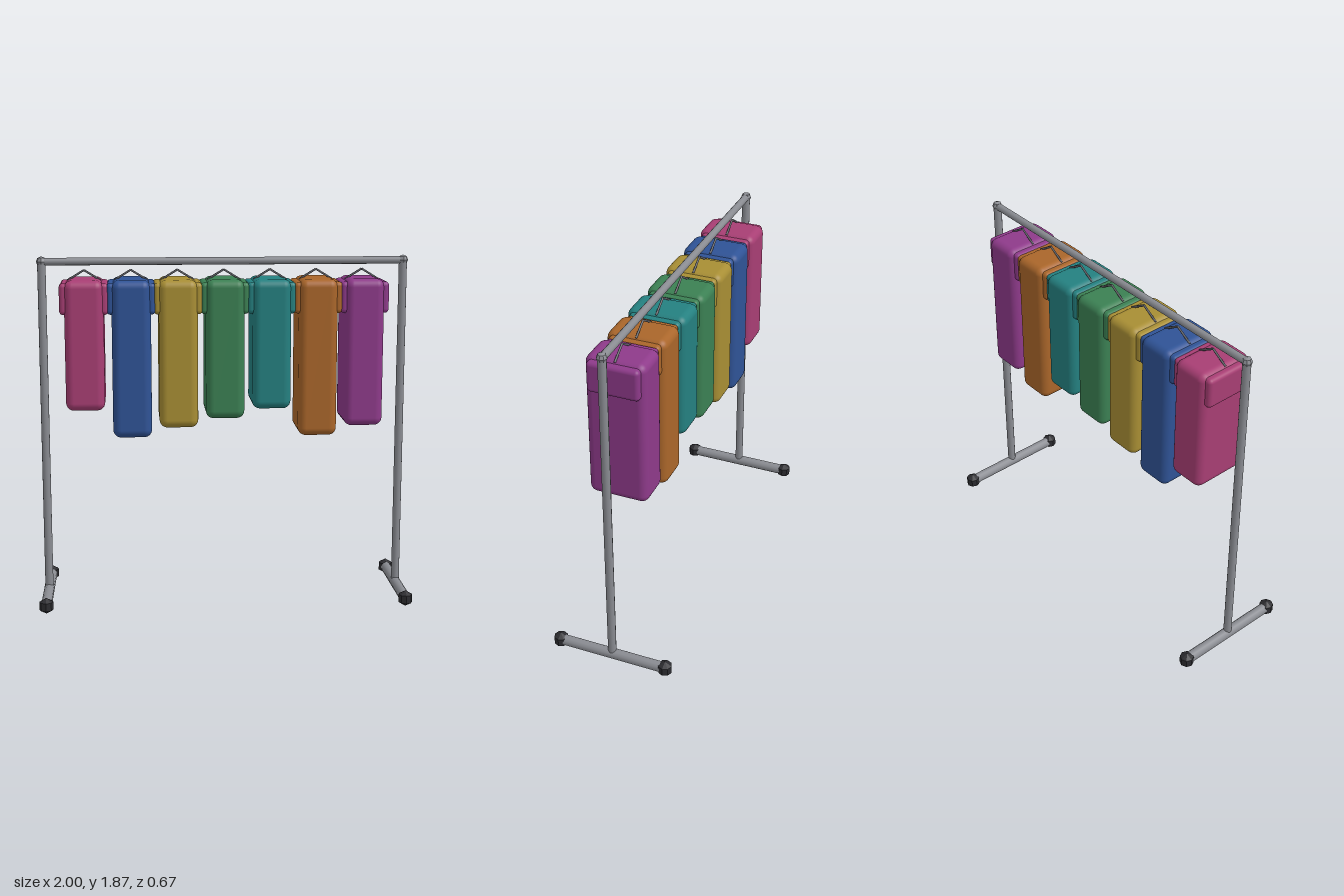
import * as THREE from 'three';
import { RoundedBoxGeometry } from 'three/addons/geometries/RoundedBoxGeometry.js';

const POST_X = 0.962, RAIL_Y = 1.837, FOOT_Y = 0.043, FOOT_Z = 0.298;

const paint = (color, flatShading = false) => new THREE.MeshStandardMaterial({ color, flatShading });

function add(parent, name, geometry, material, x = 0, y = 0, z = 0) {
  const mesh = new THREE.Mesh(geometry, material);
  mesh.name = name;
  mesh.position.set(x, y, z);
  parent.add(mesh);
  return mesh;
}

// Straight round bar between two points
function bar(parent, name, a, b, radius, material, sides = 12) {
  const from = new THREE.Vector3(...a), to = new THREE.Vector3(...b);
  const dir = to.clone().sub(from);
  const mesh = add(parent, name, new THREE.CylinderGeometry(radius, radius, dir.length(), sides), material);
  mesh.position.copy(from).add(to).multiplyScalar(0.5);
  mesh.quaternion.setFromUnitVectors(new THREE.Vector3(0, 1, 0), dir.normalize());
  return mesh;
}

export function createModel() {
  const model = new THREE.Group();
  model.name = 'clothesRack';
  const metal = paint(0x8a8c92);
  const joint = paint(0x8a8c92, true);
  const rubber = paint(0x2c2c30, true);
  const wire = paint(0x5c5d63);

  // Rack frame: rail, two posts, base bars with end caps
  const frame = new THREE.Group();
  frame.name = 'frame';
  model.add(frame);
  bar(frame, 'rail', [-POST_X, RAIL_Y, 0], [POST_X, RAIL_Y, 0], 0.02, metal);
  for (const [side, x] of [['left', POST_X], ['right', -POST_X]]) {
    bar(frame, side + 'Post', [x, FOOT_Y, 0], [x, RAIL_Y, 0], 0.022, metal);
    bar(frame, side + 'BaseBar', [x, FOOT_Y, -FOOT_Z], [x, FOOT_Y, FOOT_Z], 0.029, metal);
    add(frame, side + 'Joint', new THREE.SphereGeometry(0.028, 8, 4), joint, x, RAIL_Y, 0);
    for (const z of [-FOOT_Z, FOOT_Z]) {
      add(frame, side + 'FootCap', new THREE.SphereGeometry(0.043, 8, 3), rubber, x, FOOT_Y, z);
    }
  }

  // Garments from the model's right to its left: colour and hem height
  const top = 1.748;
  const garments = [
    [0xa83e74, 1.06], [0x2f5396, 0.912], [0xa88e34, 0.963], [0x3b8053, 1.01],
    [0x248080, 1.06], [0xaa662a, 0.912], [0x8e3a8a, 0.963],
  ];
  garments.forEach(([color, hem], i) => {
    const garment = new THREE.Group();
    garment.name = 'garment' + (i + 1);
    garment.position.x = (i - 3) * 0.2465;
    model.add(garment);
    const cloth = paint(color);
    const height = top - hem;
    add(garment, 'body', new RoundedBoxGeometry(0.206, height, 0.316, 4, 0.042), cloth, 0, hem + height / 2, 0);
    add(garment, 'sleeves', new RoundedBoxGeometry(0.258, 0.166, 0.274, 4, 0.022), cloth, 0, 1.65, 0);
    // Wire hanger shoulders meeting below the rail
    for (const s of [-1, 1]) {
      bar(garment, 'hangerArm', [s * 0.088, 1.738, 0], [0, 1.792, 0], 0.006, wire, 6);
    }
  });

  return model;
}
